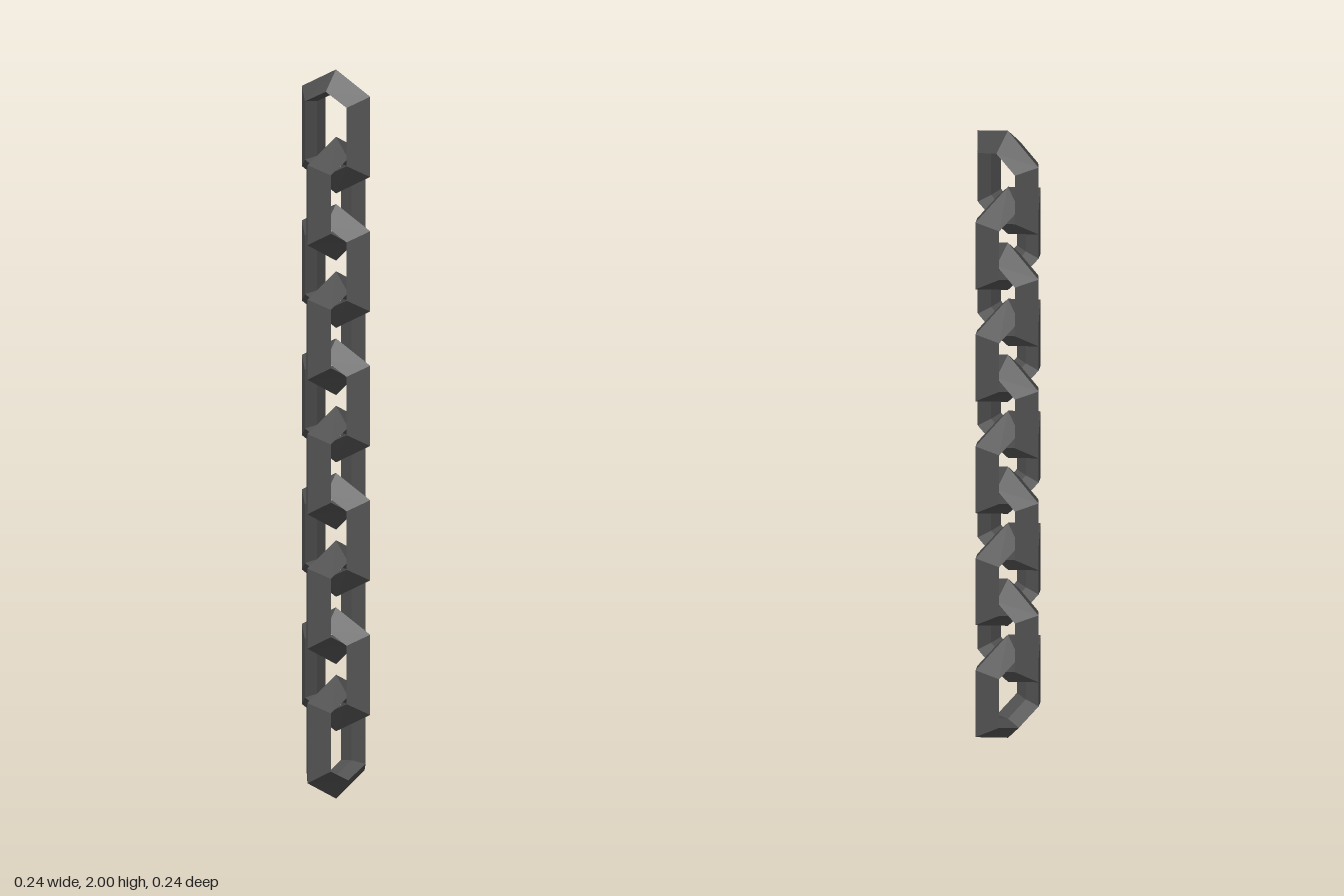
import * as THREE from 'three';

const LINKS = 10, HEIGHT = 0.34, STEP = (2 - HEIGHT) / (LINKS - 1);

// Bar cross-section, as hexagonal rings: half width, half straight side, tip height, depth
const RINGS = [
  [0.12, 0.11, 0.17, 0],          // outer ridge
  [0.073, 0.08, 0.115, 0.043],    // front edge
  [0.066, 0.075, 0.107, 0],       // shallow inner ridge
  [0.073, 0.08, 0.115, -0.043],   // back edge
];

// Elongated hexagonal link lying in the xy plane
function linkGeometry() {
  const rings = RINGS.map(([w, s, t, z]) => [
    [w, -s, z], [w, s, z], [0, t, z], [-w, s, z], [-w, -s, z], [0, -t, z],
  ]);
  const positions = [];
  for (let i = 0; i < rings.length; i++) {
    const near = rings[i], next = rings[(i + 1) % rings.length];
    for (let j = 0; j < 6; j++) {
      const k = (j + 1) % 6;
      const a = near[j], b = near[k], c = next[k], d = next[j];
      positions.push(...a, ...b, ...c, ...a, ...c, ...d);
    }
  }
  const geometry = new THREE.BufferGeometry();
  geometry.setAttribute('position', new THREE.Float32BufferAttribute(positions, 3));
  geometry.computeVertexNormals();
  return geometry;
}

export function createModel() {
  const model = new THREE.Group();
  model.name = 'chain';
  const iron = new THREE.MeshStandardMaterial({ color: 0x505050 });
  iron.name = 'darkIron';
  const geometry = linkGeometry();

  // Interlocked links, each turned a quarter from the one above
  for (let i = 0; i < LINKS; i++) {
    const link = new THREE.Mesh(geometry, iron);
    link.name = `chainLink${i + 1}`;
    link.position.y = 2 - HEIGHT / 2 - i * STEP;
    link.rotation.y = (i % 2) * Math.PI / 2;
    model.add(link);
  }
  return model;
}
